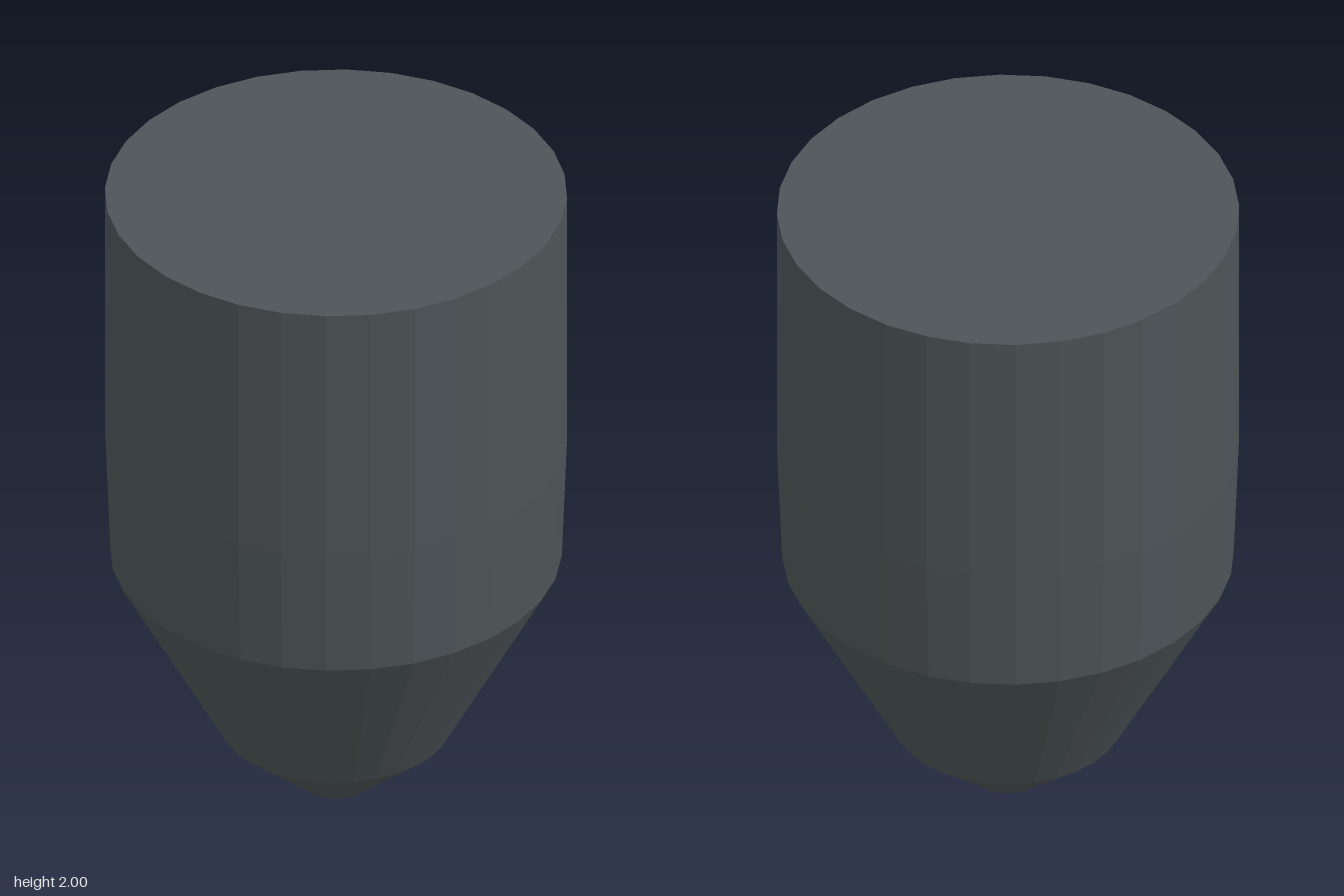
import * as THREE from 'three';

const SIDES = 32;

export function createModel() {
  const group = new THREE.Group();
  group.name = 'taperedPlug';
  const material = new THREE.MeshStandardMaterial({ color: 0x4d5457, flatShading: true });

  // Each section is a profile of [radius, height] turned from bottom to top
  const addSection = (name, profile) => {
    const points = profile.map(([r, y]) => new THREE.Vector2(r, y));
    const mesh = new THREE.Mesh(new THREE.LatheGeometry(points, SIDES), material);
    mesh.name = name;
    group.add(mesh);
  };

  // Blunt tip with a small flat end
  addSection('tip', [[0, 0], [0.095, 0], [0.335, 0.205]]);
  // Long conical nose
  addSection('nose', [[0.335, 0.205], [0.65, 0.785]]);
  // Body, drawn in slightly at the bottom and closed by a flat lid
  addSection('body', [[0.65, 0.785], [0.665, 1.18], [0.665, 2], [0, 2]]);

  return group;
}
